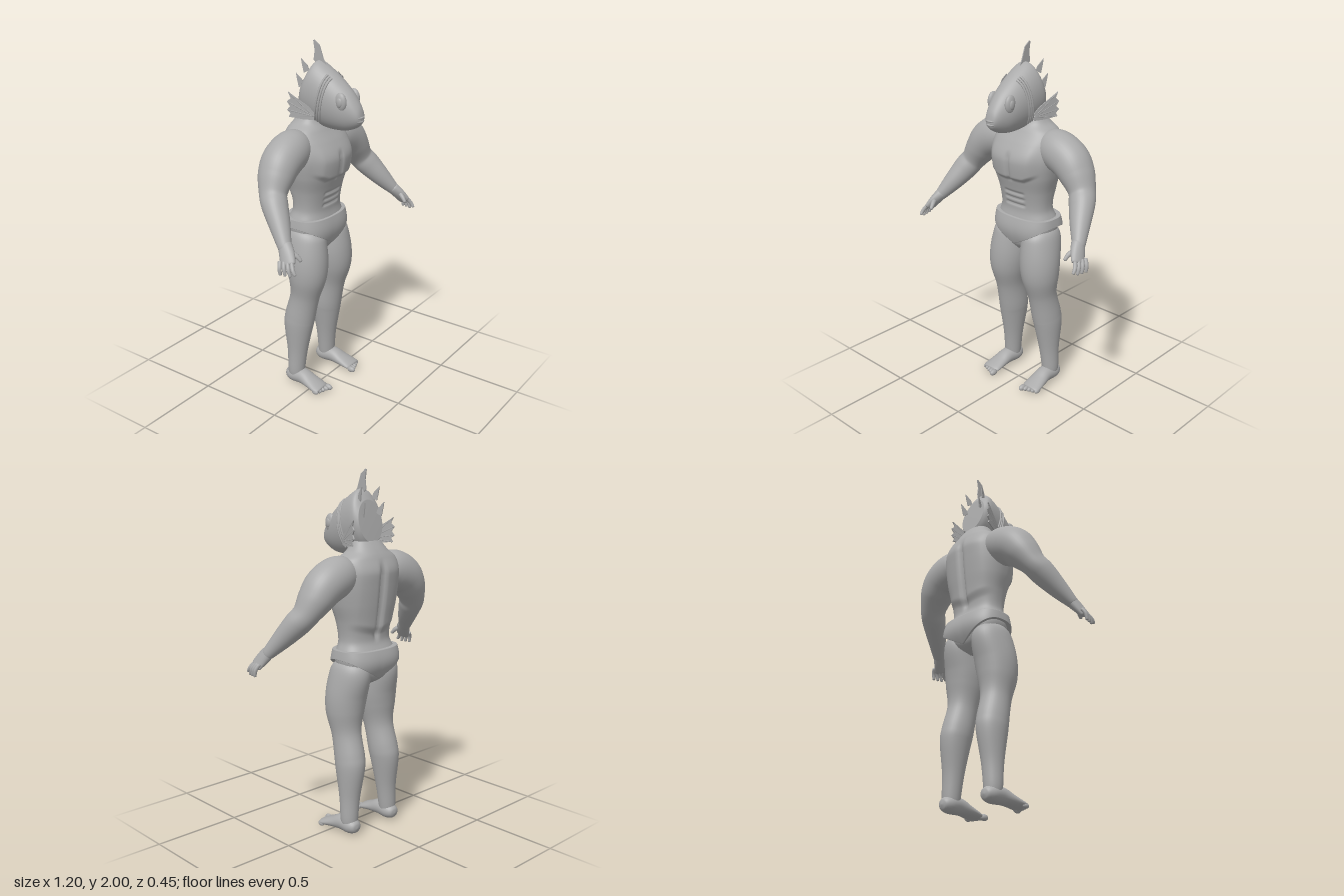
import * as THREE from 'three';

const grey = new THREE.MeshStandardMaterial({ color: 0xaaaaaa });
grey.name = 'grey';

// Catmull-Rom interpolation through rows of numbers
function sample(rows, t) {
  const i = Math.min(Math.floor(t), rows.length - 2), f = t - i;
  const at = (k) => rows[Math.max(0, Math.min(rows.length - 1, k))];
  const [a, b, c, d] = [at(i - 1), at(i), at(i + 1), at(i + 2)];
  return b.map((_, k) => 0.5 * (2 * b[k] + (c[k] - a[k]) * f
    + (2 * a[k] - 5 * b[k] + 4 * c[k] - d[k]) * f * f
    + (3 * b[k] - a[k] - 3 * c[k] + d[k]) * f * f * f));
}

// Closed skin over rings given by point(u, angle), u from 0 to 1, capped at both ends
function skin(name, point, nu, nv) {
  const pos = [], idx = [];
  for (let i = 0; i <= nu; i++) {
    for (let j = 0; j < nv; j++) pos.push(...point(i / nu, (j / nv) * Math.PI * 2).toArray());
  }
  for (let i = 0; i < nu; i++) {
    for (let j = 0; j < nv; j++) {
      const a = i * nv + j, b = i * nv + (j + 1) % nv;
      idx.push(a, b, a + nv, b, b + nv, a + nv);
    }
  }
  for (const i of [0, nu]) {
    const c = new THREE.Vector3(), m = pos.length / 3;
    for (let j = 0; j < nv; j++) c.add(new THREE.Vector3().fromArray(pos, (i * nv + j) * 3));
    pos.push(...c.divideScalar(nv).toArray());
    for (let j = 0; j < nv; j++) {
      const a = i * nv + j, b = i * nv + (j + 1) % nv;
      if (i === 0) idx.push(m, b, a); else idx.push(m, a, b);
    }
  }
  // make the faces point outward
  let volume = 0;
  const p = (k) => new THREE.Vector3().fromArray(pos, idx[k] * 3);
  for (let k = 0; k < idx.length; k += 3) volume += p(k).dot(p(k + 1).cross(p(k + 2)));
  if (volume < 0) idx.reverse();
  const g = new THREE.BufferGeometry();
  g.setAttribute('position', new THREE.Float32BufferAttribute(pos, 3));
  g.setIndex(idx);
  g.computeVertexNormals();
  const mesh = new THREE.Mesh(g, grey);
  mesh.name = name;
  return mesh;
}

// Limb along rows [x, y, z, ru, rv]; ref is the direction of rv; side mirrors x
function limb(name, rows, side, ref, nu = 40, nv = 28) {
  const last = rows.length - 1;
  const centre = (t) => new THREE.Vector3(...sample(rows, Math.max(0, Math.min(last, t))));
  return skin(name, (u, a) => {
    // ends are rounded off by shrinking the first and last rings
    const round = Math.sqrt(Math.max(0.02, 1 - Math.pow(Math.abs(2 * u - 1), 14)));
    const t = u * last, r = sample(rows, t);
    const dir = centre(t + 0.05).sub(centre(t - 0.05)).normalize();
    const v = ref.clone().addScaledVector(dir, -ref.dot(dir)).normalize();
    const w = new THREE.Vector3().crossVectors(dir, v);
    const p = centre(t).addScaledVector(w, r[3] * round * Math.cos(a)).addScaledVector(v, r[4] * round * Math.sin(a));
    p.x *= side;
    return p;
  }, nu, nv);
}

function ellipsoid(name, x, y, z, rx, ry, rz) {
  const m = new THREE.Mesh(new THREE.SphereGeometry(1, 28, 18), grey);
  m.name = name;
  m.position.set(x, y, z);
  m.scale.set(rx, ry, rz);
  return m;
}

function tube(name, pts, r) {
  const m = new THREE.Mesh(new THREE.TubeGeometry(new THREE.CatmullRomCurve3(pts), 40, r, 8), grey);
  m.name = name;
  return m;
}

// Thin fin; outline in (backward, up), turned about y
function fin(name, outline, pos, turn, thick = 0.006) {
  const g = new THREE.ExtrudeGeometry(new THREE.Shape(outline.map((p) => new THREE.Vector2(...p))), { depth: thick, bevelEnabled: false });
  g.translate(0, 0, -thick / 2);
  const m = new THREE.Mesh(g, grey);
  m.name = name;
  m.position.set(...pos);
  m.rotation.y = turn;
  return m;
}

const pw = (v, n) => Math.sign(v) * Math.pow(Math.abs(v), 2 / n);
const step = (a, b, v) => THREE.MathUtils.smoothstep(v, a, b);
const bell = (v, w) => Math.exp(-(v / w) * (v / w));

// Torso rows: y, half width, front z, back z
const torsoRows = [[0.85, 0.03, 0, -0.12], [0.89, 0.1, 0.03, -0.18], [0.96, 0.17, 0.045, -0.2], [1.03, 0.178, 0.04, -0.195],
  [1.1, 0.157, 0.03, -0.168], [1.2, 0.168, 0.045, -0.178], [1.3, 0.195, 0.07, -0.192], [1.4, 0.21, 0.08, -0.203],
  [1.48, 0.2, 0.058, -0.208], [1.54, 0.175, 0.02, -0.195], [1.58, 0.12, -0.005, -0.175], [1.63, 0.085, -0.02, -0.14]];

function torsoPoint(u, a) {
  const [y, rx, f, b] = sample(torsoRows, u * (torsoRows.length - 1));
  const x = rx * pw(Math.cos(a), 2.4), s = Math.sin(a), ax = Math.abs(x);
  let z = (f + b) / 2 + ((f - b) / 2) * pw(s, 2.4);
  if (s > 0) {
    // chest muscles, breastbone and belly grooves
    z += s * 0.022 * step(1.272, 1.298, y - 0.5 * Math.max(0, ax - 0.09)) * (1 - step(1.38, 1.52, y)) * (1 - step(0.12, 0.18, ax));
    z -= 0.014 * bell(x, 0.012) * step(1.26, 1.3, y) * (1 - step(1.4, 1.45, y));
    for (const g of [1.125, 1.16, 1.195]) z -= 0.009 * bell(y - g, 0.007) * (1 - step(0.055, 0.08, ax));
  } else {
    // back muscles and spine groove
    z += s * 0.014 * step(1.12, 1.17, y - 0.25 * ax) * (1 - step(1.46, 1.56, y)) * (1 - step(0.13, 0.2, ax));
    z += 0.026 * bell(x, 0.016) * step(1.08, 1.16, y) * (1 - step(1.45, 1.55, y));
  }
  return new THREE.Vector3(x, y, z);
}

function briefsPoint(u, a) {
  const c = pw(Math.cos(a), 2.7), s = pw(Math.sin(a), 2.7);
  const v = THREE.MathUtils.clamp((u - 0.05) / 0.9, 0, 1), inset = u < 0.04 || u > 0.96 ? 0.9 : 1;
  const low = 0.89 + 0.115 * Math.pow(Math.abs(c), 1.1), y = low + (1.052 - low) * v;
  const h = (y - 0.89) / 0.162, swell = Math.sin(h * Math.PI);
  const rx = 0.192 + 0.008 * swell, f = 0.04 + 0.008 * h + 0.018 * swell, b = -0.185 - 0.02 * h - 0.025 * swell;
  return new THREE.Vector3(rx * c * inset, y, (f + b) / 2 + ((f - b) / 2) * s * inset);
}

// Head rows, snout to nape: top z, top y, bottom z, bottom y, half width
const headRows = [[0.226, 1.633, 0.226, 1.612, 0.014], [0.21, 1.685, 0.213, 1.588, 0.037], [0.16, 1.755, 0.175, 1.564, 0.061],
  [0.09, 1.817, 0.12, 1.548, 0.084], [0.02, 1.866, 0.04, 1.546, 0.098], [-0.035, 1.896, -0.05, 1.56, 0.103],
  [-0.062, 1.89, -0.115, 1.585, 0.1], [-0.095, 1.84, -0.14, 1.62, 0.085]];

function headPoint(t, a, grow = 1) {
  const [tz, ty, bz, by, w] = sample(headRows, t);
  const s = Math.sin(a) * grow;
  return new THREE.Vector3(w * Math.cos(a) * grow, (ty + by) / 2 + ((ty - by) / 2) * s, (tz + bz) / 2 + ((tz - bz) / 2) * s);
}

const Y = new THREE.Vector3(0, 1, 0), Z = new THREE.Vector3(0, 0, 1);
const arm = [[0.1, 1.46, -0.085, 0.09, 0.09], [0.2, 1.455, -0.08, 0.11, 0.105], [0.29, 1.415, -0.078, 0.108, 0.107],
  [0.35, 1.35, -0.07, 0.092, 0.098], [0.4, 1.275, -0.05, 0.07, 0.075], [0.43, 1.225, -0.015, 0.07, 0.068],
  [0.47, 1.15, 0.045, 0.056, 0.055], [0.515, 1.07, 0.108, 0.035, 0.038], [0.525, 1.05, 0.122, 0.03, 0.035]];
const leg = [[0.095, 0.99, -0.075, 0.09, 0.11], [0.104, 0.92, -0.072, 0.1, 0.125], [0.114, 0.8, -0.05, 0.11, 0.12],
  [0.121, 0.7, -0.046, 0.103, 0.11], [0.125, 0.58, -0.062, 0.08, 0.086], [0.13, 0.45, -0.092, 0.08, 0.09],
  [0.135, 0.38, -0.102, 0.076, 0.087], [0.143, 0.22, -0.106, 0.057, 0.06], [0.15, 0.1, -0.11, 0.05, 0.051], [0.15, 0.04, -0.11, 0.048, 0.052]];
const foot = [[0.15, 0.05, -0.176, 0.03, 0.028], [0.15, 0.055, -0.13, 0.048, 0.045], [0.152, 0.058, -0.06, 0.047, 0.045],
  [0.156, 0.045, 0.0, 0.052, 0.032], [0.16, 0.03, 0.06, 0.057, 0.021], [0.16, 0.025, 0.085, 0.05, 0.015]];
const earFin = [[0, -0.02], [0, 0.02], [0.03, 0.05], [0.14, 0.12], [0.126, 0.088], [0.147, 0.07], [0.13, 0.045],
  [0.147, 0.025], [0.128, 0.008], [0.138, -0.012], [0.06, -0.02]];
const spike = [[0, 0], [0.01, 0.025], [0.045, 0.06], [0.04, 0.03], [0.03, -0.015]];

export function createModel() {
  const model = new THREE.Group();
  model.name = 'fishHeadedFigure';
  const add = (...parts) => model.add(...parts);

  add(skin('torso', torsoPoint, 150, 128), skin('briefs', briefsPoint, 40, 80));
  add(skin('head', (u, a) => headPoint(u * (headRows.length - 1), a), 56, 48));
  add(fin('crestFin', [[0, -0.02], [0, 0], [0.02, 0.03], [0.045, 0.1], [0.078, 0.125], [0.085, 0.122], [0.076, 0.07], [0.083, 0.02], [0.06, 0]], [0, 1.875, 0], Math.PI / 2));

  // lips wrap around the snout
  for (const [name, y, w] of [['upperLip', 1.632, 0.036], ['lowerLip', 1.612, 0.032]]) {
    add(tube(name, [[-w, 0.195], [-w * 0.7, 0.215], [0, 0.225], [w * 0.7, 0.215], [w, 0.195]].map(([x, z]) => new THREE.Vector3(x, y, z)), 0.006));
  }

  for (const side of [1, -1]) {
    add(limb('arm', arm, side, Z, 64, 36), limb('leg', leg, side, Z, 64, 36), limb('foot', foot, side, Y));
    for (let i = 0; i < 5; i++) {
      const big = i === 0;
      add(ellipsoid('toe', side * (0.118 + i * 0.022), 0.022, 0.096 - i * 0.008, big ? 0.016 : 0.012, big ? 0.018 : 0.014, big ? 0.026 : 0.022));
    }

    // hand
    add(limb('palm', [[0.508, 1.08, 0.105, 0.034, 0.036], [0.535, 1.035, 0.14, 0.027, 0.043], [0.562, 0.99, 0.168, 0.018, 0.042]], side, Z, 24, 20));
    for (let i = 0; i < 4; i++) {
      const x = 0.553 + i * 0.006, z = 0.195 - i * 0.02;
      add(limb('finger', [[x, 1.012, z - 0.012, 0.011, 0.011], [x + 0.018, 0.98, z + 0.008 - i * 0.003, 0.011, 0.011],
        [x + 0.02, 0.942 + (i === 0 ? 0.012 : 0), z + 0.026 - i * 0.007, 0.008, 0.008]], side, Z, 16, 12));
    }
    add(limb('thumb', [[0.528, 1.05, 0.145, 0.016, 0.016], [0.51, 1.03, 0.18, 0.013, 0.013], [0.502, 1.002, 0.205, 0.009, 0.009]], side, Y, 16, 12));

    // eye with rim and pupil
    add(ellipsoid('eye', side * 0.061, 1.712, 0.13, 0.02, 0.05, 0.036));
    add(ellipsoid('pupil', side * 0.075, 1.712, 0.132, 0.01, 0.026, 0.018));

    // gill ridges follow the cheek
    for (let k = 0; k < 3; k++) {
      const pts = [];
      for (let i = 0; i <= 10; i++) {
        const p = headPoint(3.4 + k * 0.17 + i * 0.1, 1.1 - i * 0.195, 1.01);
        p.x *= side;
        pts.push(p);
      }
      add(tube('gillRidge', pts, 0.006));
    }

    // ear fin with rays, and small nape spikes
    const turn = side > 0 ? 1.23 : Math.PI - 1.23;
    const ear = fin('earFin', earFin, [side * 0.1, 1.625, -0.01], turn);
    for (const [bx, by] of [[0.138, 0.117], [0.143, 0.069], [0.143, 0.025], [0.134, -0.011]]) {
      ear.add(tube('finRay', [new THREE.Vector3(0, 0, 0), new THREE.Vector3(bx / 2, by / 2, 0), new THREE.Vector3(bx, by, 0)], 0.004));
    }
    add(ear);
    add(fin('upperSpike', spike, [side * 0.05, 1.85, -0.075], turn));
    add(fin('lowerSpike', spike, [side * 0.055, 1.77, -0.105], turn));
  }
  return model;
}
